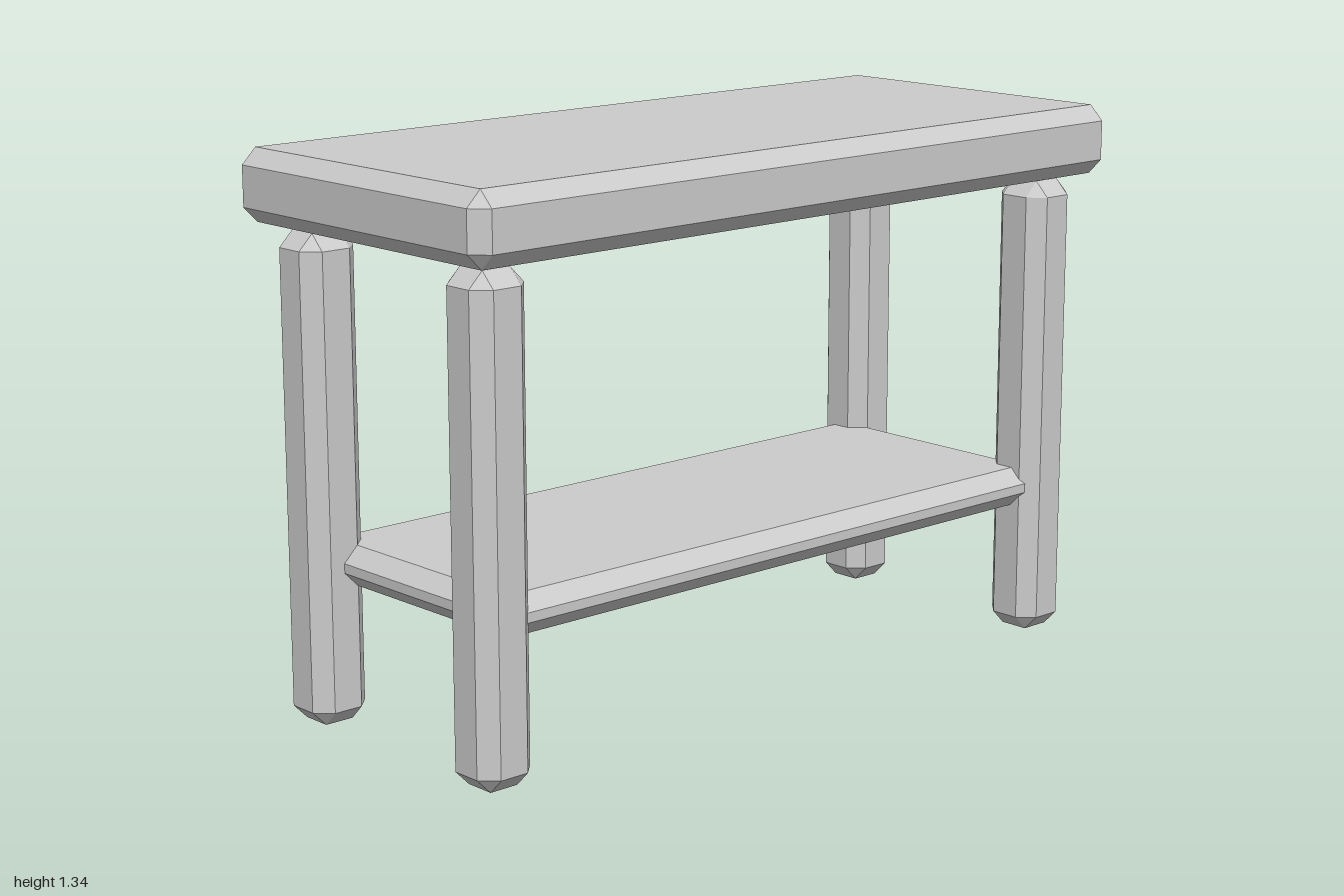
import * as THREE from 'three';
import { ConvexGeometry } from 'three/addons/geometries/ConvexGeometry.js';

const material = new THREE.MeshStandardMaterial({ color: 0xcccccc, flatShading: true });
const CHAMFER = 0.037;

// Box with every edge cut at 45 degrees and small triangles at the corners
function chamferedBox(name, width, height, depth, x, y, z) {
  const half = [width / 2, height / 2, depth / 2];
  const points = [];
  for (const sx of [-1, 1]) for (const sy of [-1, 1]) for (const sz of [-1, 1]) {
    for (let axis = 0; axis < 3; axis++) {
      const [px, py, pz] = half.map((h, i) => (i === axis ? h : h - CHAMFER));
      points.push(new THREE.Vector3(sx * px, sy * py, sz * pz));
    }
  }
  const mesh = new THREE.Mesh(new ConvexGeometry(points), material);
  mesh.name = name;
  mesh.position.set(x, y, z);
  return mesh;
}

export function createModel() {
  const table = new THREE.Group();
  table.name = 'table';

  // Thick top, floating slightly above the legs
  table.add(chamferedBox('tabletop', 2, 0.17, 0.876, 0, 1.253, 0));

  // Lower shelf, its corners sunk into the legs
  table.add(chamferedBox('shelf', 1.75, 0.097, 0.7, 0, 0.377, 0));

  // Four square legs
  for (const [side, sx] of [['Left', 1], ['Right', -1]]) {
    for (const [end, sz] of [['front', 1], ['back', -1]]) {
      table.add(chamferedBox(`${end}${side}Leg`, 0.149, 1.153, 0.149, sx * 0.875, 0.5765, sz * 0.302));
    }
  }
  return table;
}
